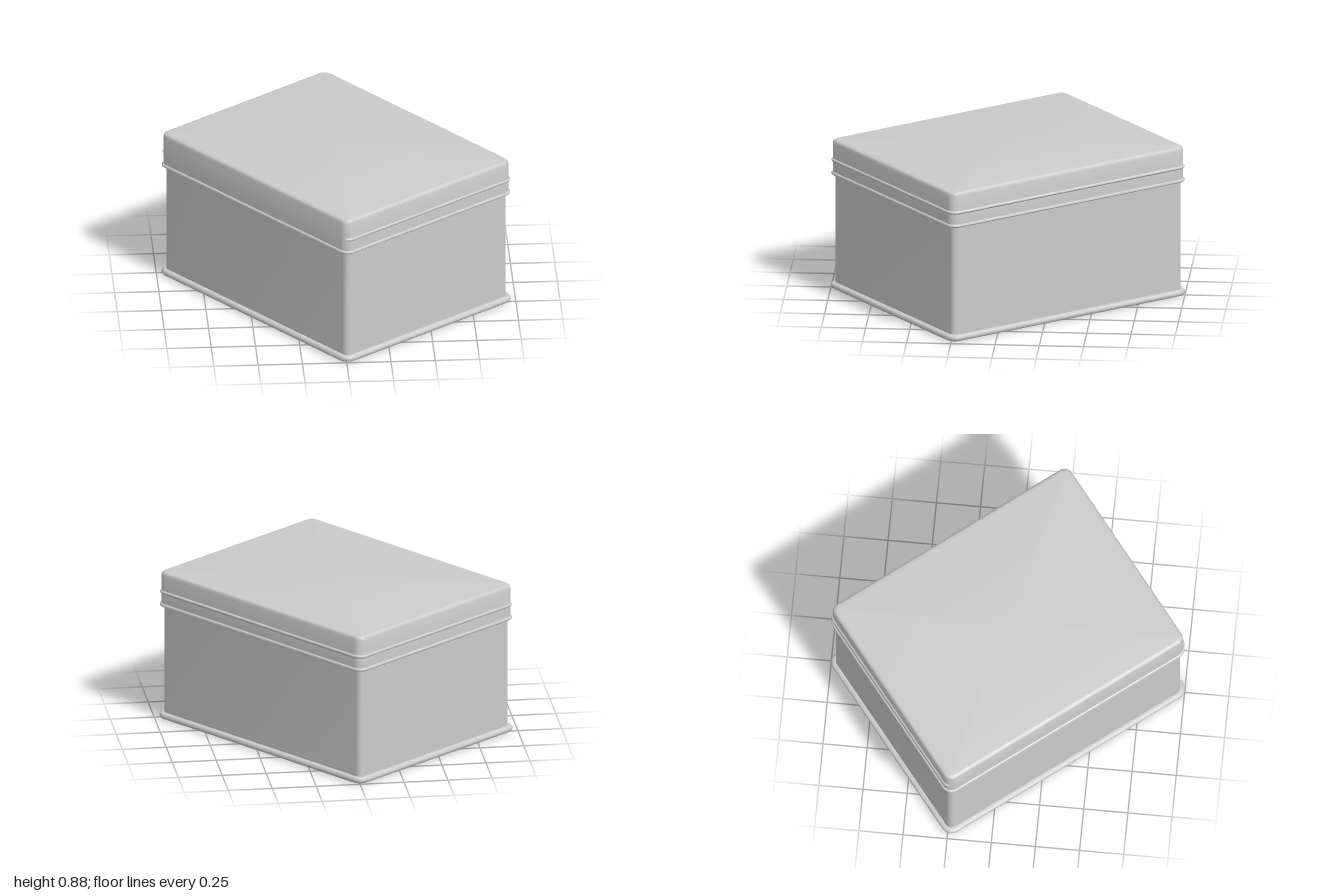
import * as THREE from 'three';
import { toCreasedNormals } from 'three/addons/utils/BufferGeometryUtils.js';

// Half sizes of the rectangle through the corner centres
const HALF_LENGTH = 0.745, HALF_WIDTH = 0.573;
const STEPS = 8;

// Outward direction and corner centre for each point round the rectangle
const outline = [];
for (const [k, sx, sz] of [[1, -1, 1], [2, -1, -1], [3, 1, -1], [0, 1, 1]]) {
  for (let i = 0; i <= STEPS; i++) {
    const a = (k + i / STEPS) * Math.PI / 2;
    outline.push({ cx: sx * HALF_LENGTH, cz: sz * HALF_WIDTH, nx: Math.cos(a), nz: Math.sin(a) });
  }
}

// Sweep a profile of [outward offset, y] round the outline; offset null means the centre
function sweep(profile, path = outline, closed = true) {
  const pos = [];
  const point = (p, [o, y]) => o === null ? [0, y, 0] : [p.cx + p.nx * o, y, p.cz + p.nz * o];
  const count = closed ? path.length : path.length - 1;
  for (let i = 0; i < count; i++) {
    const p = path[i], q = path[(i + 1) % path.length];
    for (let j = 0; j < profile.length - 1; j++) {
      const lo = profile[j], hi = profile[j + 1];
      const a = point(p, lo), b = point(q, lo), c = point(p, hi), d = point(q, hi);
      if (lo[0] !== null) pos.push(...a, ...c, ...b);
      if (hi[0] !== null) pos.push(...b, ...c, ...d);
    }
  }
  const g = new THREE.BufferGeometry();
  g.setAttribute('position', new THREE.Float32BufferAttribute(pos, 3));
  return toCreasedNormals(g, 0.7);
}

// Half-round bead profile standing on a wall
function bead(wall, y, height, depth) {
  const pts = [];
  for (let i = 0; i <= 6; i++) {
    const a = -Math.PI / 2 + Math.PI * i / 6;
    pts.push([wall + Math.cos(a) * depth, y + Math.sin(a) * height / 2]);
  }
  return pts;
}

export function createModel() {
  const group = new THREE.Group();
  group.name = 'hingedTin';
  const material = new THREE.MeshStandardMaterial({ color: 0xcccccc, side: THREE.DoubleSide });
  const add = (name, geometry) => {
    const mesh = new THREE.Mesh(geometry, material);
    mesh.name = name;
    group.add(mesh);
  };

  // Base with rolled foot
  add('base', sweep([[null, 0], [0.045, 0], [0.054, 0.004], [0.06, 0.012], [0.06, 0.023],
    [0.054, 0.032], [0.045, 0.036], [0.034, 0.036]]));
  // Straight body wall
  add('body', sweep([[0.034, 0.03], [0.034, 0.69]]));
  // Lid skirt, wall and rounded top edge
  add('lid', sweep([[0.034, 0.675], [0.049, 0.675], [0.049, 0.86], [0.047, 0.868],
    [0.041, 0.875], [0.033, 0.879], [0.024, 0.88], [null, 0.88]]));
  // Rolled lower rim of the lid
  add('lowerRim', sweep(bead(0.047, 0.682, 0.02, 0.012)));
  // Opening bead on three sides, leaving the hinge side plain
  const openSides = outline.slice(STEPS / 2, outline.length - STEPS / 2);
  add('openingBead', sweep(bead(0.047, 0.76, 0.02, 0.011), openSides, false));

  group.rotation.y = -THREE.MathUtils.degToRad(52);
  const model = new THREE.Group();
  model.name = 'tin';
  model.add(group);
  return model;
}
